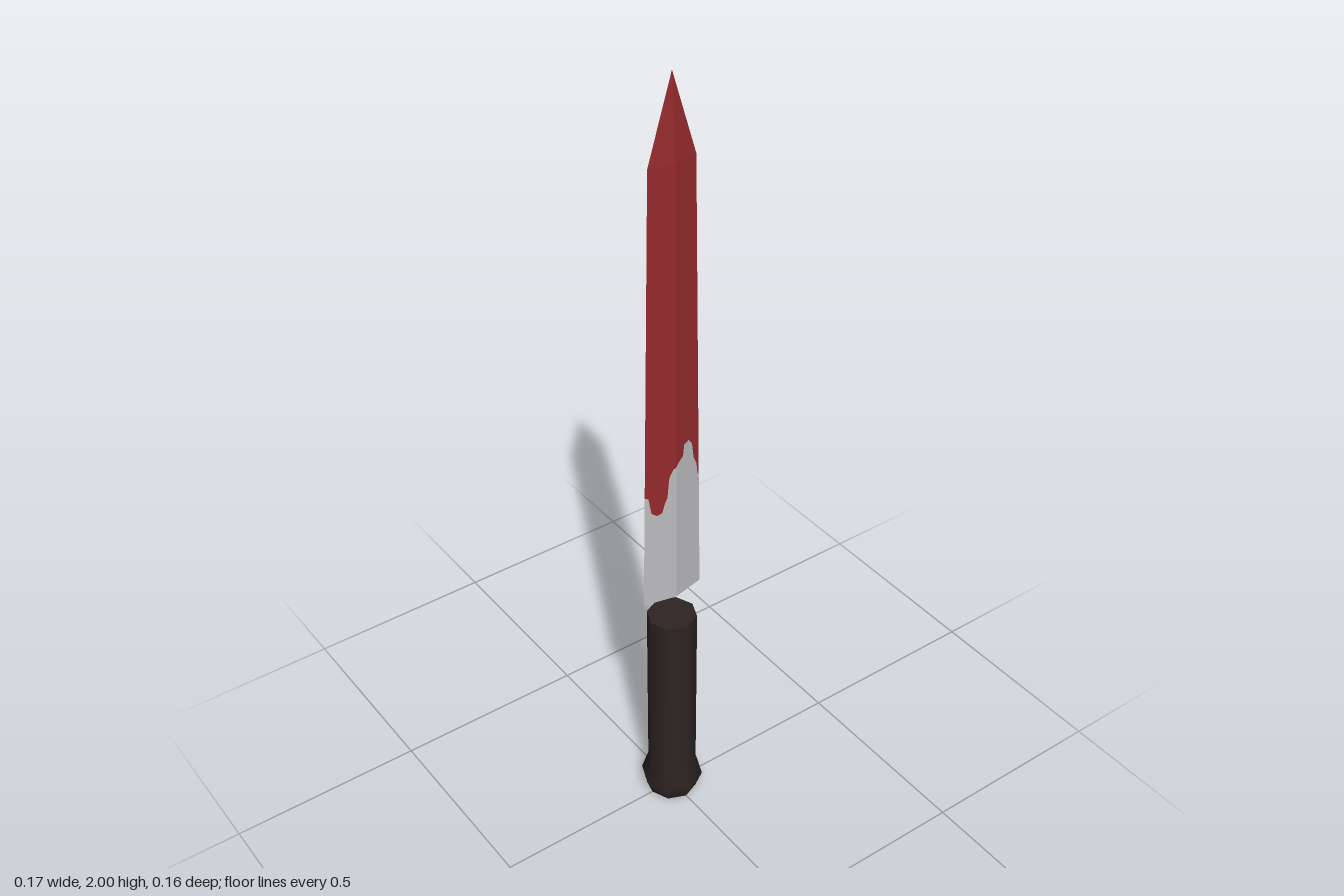
import * as THREE from 'three';

const steel = new THREE.MeshStandardMaterial({ color: 0xbcbcbf });
steel.name = 'steel grey';
const red = new THREE.MeshStandardMaterial({ color: 0x952a2d });
red.name = 'dark red';
const grip = new THREE.MeshStandardMaterial({ color: 0x2e2423 });
grip.name = 'dark brown';

const BASE = 0.65, SHOULDER = 1.8, TIP = 2;

// Point on the diamond-section blade: u runs -1..1 across one side
function bladePoint(u, y, side) {
  const w = y > SHOULDER
    ? 0.062 * (TIP - y) / (TIP - SHOULDER)
    : THREE.MathUtils.lerp(0.083, 0.062, (y - BASE) / (SHOULDER - BASE));
  return [side * u * w, y, side * 0.22 * w * (1 - Math.abs(u))];
}

function mesh(name, geometry, material, parent) {
  const m = new THREE.Mesh(geometry, material);
  m.name = name;
  parent.add(m);
  return m;
}

function facets(corners) {
  const g = new THREE.BufferGeometry();
  g.setAttribute('position', new THREE.Float32BufferAttribute(corners.flat(), 3));
  g.computeVertexNormals();
  return g;
}

// Ragged colour edge on each side, as [u, y] from that side's left to right
const edges = {
  front: [[-1, 0.97], [-0.88, 0.965], [-0.78, 0.92], [-0.6, 0.91], [-0.44, 0.915], [-0.36, 0.94],
    [-0.28, 0.955], [-0.22, 1.01], [-0.1, 1.03], [0, 1.035], [0.12, 1.045], [0.3, 1.055],
    [0.36, 1.085], [0.56, 1.09], [0.7, 1.075], [0.78, 1.03], [0.9, 1.01], [0.94, 0.98], [1, 0.97]],
  back: [[-1, 0.96], [-0.7, 0.945], [-0.32, 0.945], [-0.24, 1.0], [-0.1, 1.03], [0, 1.065],
    [0.18, 1.065], [0.26, 1.035], [0.5, 1.03], [0.6, 1.01], [0.85, 1.0], [1, 0.97]],
};

export function createModel() {
  const model = new THREE.Group();
  model.name = 'knife';

  // Blade: steel below and red above the ragged edge
  const blade = new THREE.Group();
  blade.name = 'blade';
  model.add(blade);
  for (const [label, edge] of Object.entries(edges)) {
    const side = label === 'front' ? 1 : -1;
    const lower = [], upper = [];
    for (let i = 0; i < edge.length - 1; i++) {
      const [[u0, y0], [u1, y1]] = [edge[i], edge[i + 1]];
      const p = (u, y) => bladePoint(u, y, side);
      const quad = (a0, a1, b0, b1) => [
        p(u0, a0), p(u1, a1), p(u1, b1), p(u0, a0), p(u1, b1), p(u0, b0)];
      lower.push(...quad(BASE, BASE, y0, y1));
      upper.push(...quad(y0, y1, SHOULDER, SHOULDER));
      upper.push(p(u0, SHOULDER), p(u1, SHOULDER), p(0, TIP));
    }
    mesh(label + 'BladeSteel', facets(lower), steel, blade);
    mesh(label + 'BladeRed', facets(upper), red, blade);
  }

  // Dark closed underside of the blade
  const left = bladePoint(1, BASE, 1), right = bladePoint(-1, BASE, 1);
  const front = bladePoint(0, BASE, 1), back = bladePoint(0, BASE, -1);
  mesh('bladeBase', facets([right, back, front, front, back, left]), grip, blade);

  // Eight-sided handle with a flared pommel
  const handle = new THREE.Group();
  handle.name = 'handle';
  model.add(handle);
  const profile = [[0.063, 0], [0.079, 0.045], [0.062, 0.1], [0.062, 0.583]]
    .map(([r, y]) => new THREE.Vector2(r, y));
  mesh('gripAndPommel', new THREE.LatheGeometry(profile, 8), grip, handle);
  const top = mesh('gripTop', new THREE.CircleGeometry(0.062, 8), grip, handle);
  top.rotation.x = -Math.PI / 2;
  top.position.y = 0.583;
  const bottom = mesh('pommelBottom', new THREE.CircleGeometry(0.063, 8), grip, handle);
  bottom.rotation.x = Math.PI / 2;

  return model;
}
